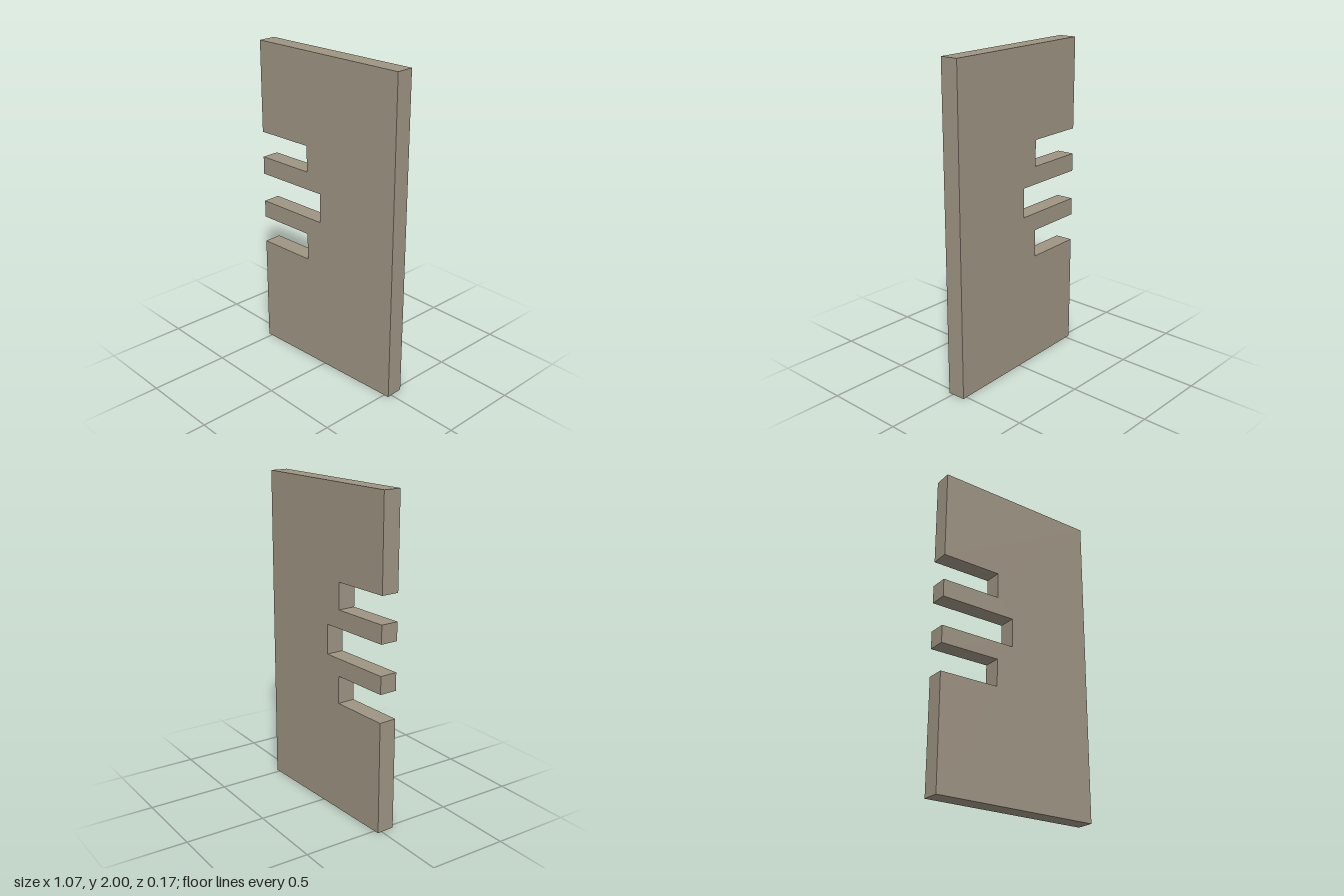
import * as THREE from 'three';

export function createModel() {
  const group = new THREE.Group();
  group.name = 'slottedPanel';
  const stone = new THREE.MeshStandardMaterial({ color: 0x9e9483 });
  stone.name = 'warm grey';

  const half = 0.5305, height = 2, depth = 0.112;
  // Slots cut in from the -x edge: bottom, top, inner end
  const slots = [
    [0.695, 0.866, -0.148],
    [0.975, 1.159, -0.039],
    [1.271, 1.434, -0.148],
  ];

  // Panel outline, walked anticlockwise; the slots come last, top to bottom
  const outline = new THREE.Shape();
  outline.moveTo(-half, 0);
  outline.lineTo(half, 0);
  outline.lineTo(half, height);
  outline.lineTo(-half, height);
  for (const [bottom, top, end] of slots.reverse()) {
    outline.lineTo(-half, top);
    outline.lineTo(end, top);
    outline.lineTo(end, bottom);
    outline.lineTo(-half, bottom);
  }
  outline.closePath();

  const geometry = new THREE.ExtrudeGeometry(outline, { depth, bevelEnabled: false });
  geometry.translate(0, 0, -depth / 2);
  const panel = new THREE.Mesh(geometry, stone);
  panel.name = 'panel';
  panel.rotation.y = 0.052; // slight turn about the upright axis
  group.add(panel);
  return group;
}
